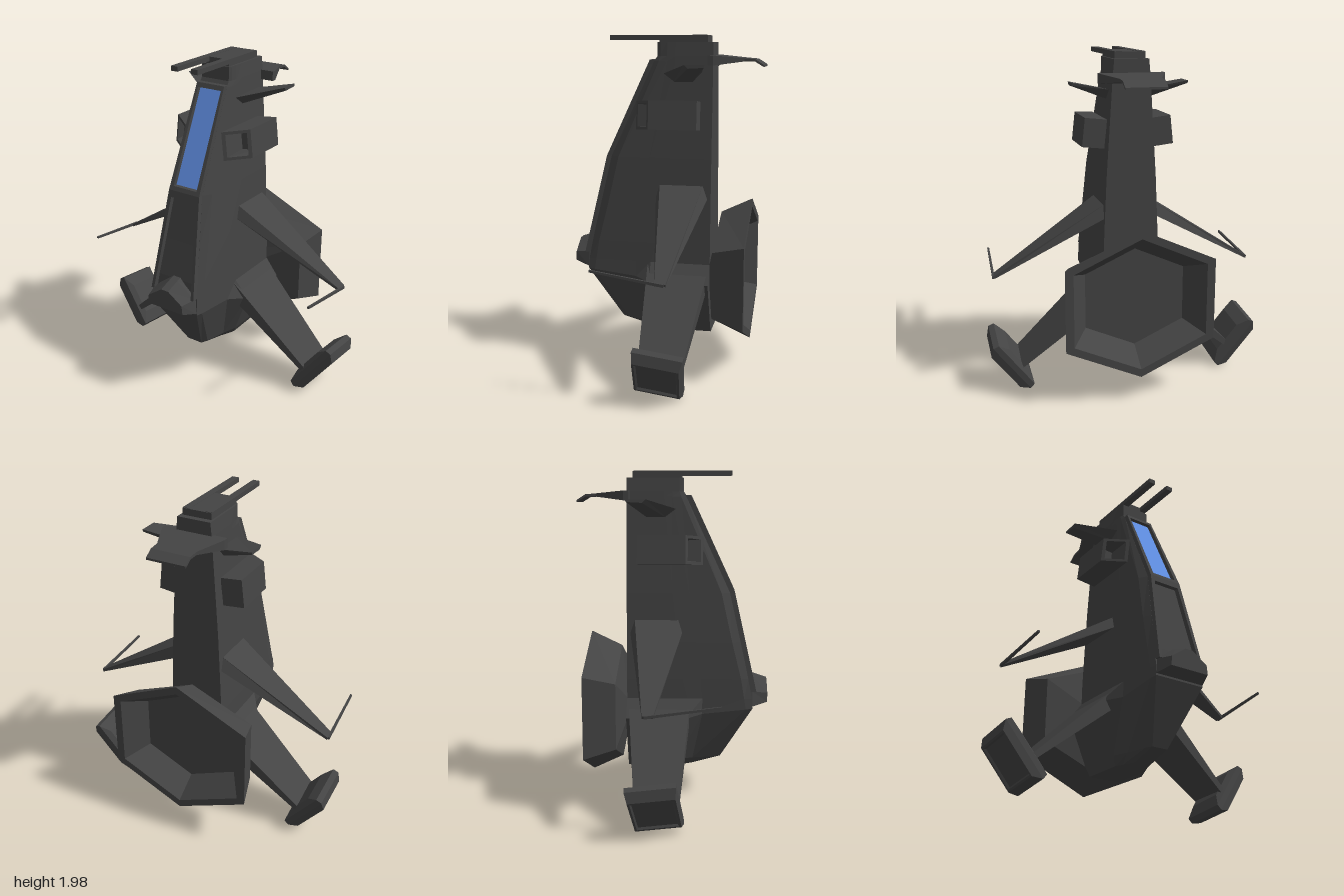
import * as THREE from 'three';

const hull = new THREE.MeshStandardMaterial({ color: 0x444444, flatShading: true });
hull.name = 'dark hull grey';
const glass = new THREE.MeshStandardMaterial({ color: 0x6495ed, flatShading: true });
glass.name = 'canopy blue';

// Closed faceted solid through a list of rings of [x, y, z]; winding is corrected by volume.
function loft(rings) {
  const tris = [];
  const n = rings[0].length;
  const centre = r => [0, 1, 2].map(k => r.reduce((s, p) => s + p[k], 0) / n);
  for (let i = 0; i < rings.length - 1; i++) {
    for (let j = 0; j < n; j++) {
      const k = (j + 1) % n, a = rings[i], b = rings[i + 1];
      tris.push([a[j], a[k], b[k]], [a[j], b[k], b[j]]);
    }
  }
  const first = rings[0], last = rings[rings.length - 1];
  const c0 = centre(first), c1 = centre(last);
  for (let j = 0; j < n; j++) {
    const k = (j + 1) % n;
    tris.push([c0, first[k], first[j]], [c1, last[j], last[k]]);
  }
  const v = tris.reduce((s, [a, b, c]) => s +
    a[0] * (b[1] * c[2] - b[2] * c[1]) + a[1] * (b[2] * c[0] - b[0] * c[2]) + a[2] * (b[0] * c[1] - b[1] * c[0]), 0);
  if (v < 0) tris.forEach(t => t.reverse());
  const geo = new THREE.BufferGeometry();
  geo.setAttribute('position', new THREE.Float32BufferAttribute(tris.flat(2), 3));
  geo.computeVertexNormals();
  return geo;
}

// Rectangle ring in the xy plane, with z allowed to vary from inner to outer side.
const rectXY = (x, y, hx, hy, z, z2 = z) => [[x - hx, y - hy, z], [x + hx, y - hy, z2], [x + hx, y + hy, z2], [x - hx, y + hy, z]];

export function createModel() {
  const model = new THREE.Group();
  model.name = 'spacecraft';

  const add = (name, rings, mat = hull) => {
    const mesh = new THREE.Mesh(loft(rings), mat);
    mesh.name = name;
    model.add(mesh);
  };
  // Same solid on the left (+x) and right (-x), with an optional placement matrix.
  const pair = (name, rings, matrix = new THREE.Matrix4()) => {
    for (const s of [1, -1]) {
      add((s > 0 ? 'left' : 'right') + name, rings.map(r => r.map(p => {
        const v = new THREE.Vector3(...p).applyMatrix4(matrix);
        return [v.x * s, v.y, v.z];
      })));
    }
  };
  const place = (x, y, z, rx, rz) => new THREE.Matrix4()
    .makeRotationFromEuler(new THREE.Euler(rx, 0, rz)).setPosition(x, y, z);

  // Fuselage: front y, rear y, then front, bevel, cheek and rear corners as x, z
  const sections = [
    [0.22, 0.22, 0.05, 0.11, 0.06, 0.09, 0.08, 0.05, 0.10, 0.0],
    [0.27, 0.27, 0.05, 0.29, 0.07, 0.25, 0.10, 0.12, 0.13, 0.03],
    [0.60, 0.555, 0.16, 0.48, 0.168, 0.44, 0.17, 0.18, 0.25, 0.08],
    [0.66, 0.66, 0.157, 0.475, 0.166, 0.43, 0.168, 0.18, 0.17, 0.09],
    [0.78, 0.78, 0.146, 0.455, 0.164, 0.41, 0.166, 0.17, 0.168, 0.06],
    [1.00, 1.00, 0.13, 0.405, 0.154, 0.355, 0.157, 0.14, 0.159, 0.03],
    [1.29, 1.29, 0.106, 0.34, 0.138, 0.29, 0.143, 0.10, 0.146, 0.0],
    [1.85, 1.85, 0.093, 0.08, 0.105, 0.05, 0.108, 0.0, 0.11, -0.05],
    [1.88, 1.88, 0.092, 0.06, 0.10, 0.04, 0.105, 0.0, 0.108, -0.05],
    [1.96, 1.96, 0.092, 0.06, 0.098, 0.04, 0.10, 0.0, 0.10, -0.05],
  ];
  add('fuselage', sections.map(([yFront, yRear, ...q]) => {
    const corner = (x, z) => [x, yFront + (yRear - yFront) * Math.min(1, (q[1] - z) / 0.4), z];
    const half = [0, 2, 4, 6].map(i => corner(q[i], q[i + 1]));
    half.push(corner(q[6], -0.27));
    return [...half, ...half.map(([x, y, z]) => [-x, y, z]).reverse()];
  }));

  // Raised frames around the sunken canopy and nose panel
  const upperZ = y => 0.34 - (y - 1.29) * 0.464;
  const lowerZ = y => 0.455 - (y - 0.78) * 0.2255;
  const plate = (name, zAt, corners, t, mat) =>
    add(name, [-0.004, t].map(d => corners.map(([x, y]) => [x, y, zAt(y) + d])), mat);
  const frame = 0.03;
  plate('canopyGlass', upperZ, [[-0.08, 1.31], [0.08, 1.31], [0.08, 1.84], [-0.08, 1.84]], 0.004, glass);
  plate('canopySill', upperZ, [[-0.106, 1.29], [0.106, 1.29], [0.105, 1.313], [-0.105, 1.313]], frame);
  plate('canopyHeader', upperZ, [[-0.093, 1.835], [0.093, 1.835], [0.093, 1.86], [-0.093, 1.86]], frame);
  plate('nosePanelHeader', lowerZ, [[-0.109, 1.25], [0.109, 1.25], [0.106, 1.29], [-0.106, 1.29]], frame);
  for (const s of [-1, 1]) {
    plate('canopyRail', upperZ, [[s * 0.08, 1.313], [s * 0.105, 1.313], [s * 0.093, 1.835], [s * 0.078, 1.835]], frame);
    plate('nosePanelRail', lowerZ, [[s * 0.134, 0.7], [s * 0.153, 0.7], [s * 0.109, 1.25], [s * 0.085, 1.25]], frame);
  }

  // Chin block with a peaked top
  const chin = (w, w2, y0, y1, y2, z) => [[-w, y0, z], [w, y0, z], [w2, y1, z], [0.025, y2, z], [-0.025, y2, z], [-w2, y1, z]];
  add('chinBlock', [chin(0.16, 0.145, 0.612, 0.71, 0.81, 0.4), chin(0.16, 0.145, 0.612, 0.70, 0.785, 0.48),
    chin(0.125, 0.12, 0.635, 0.69, 0.755, 0.57)]);

  // Six-sided engine bell with a hollow rear
  const hex = (sx, sy, z) => [[0, 0.44], [0.44, 0.242], [0.44, -0.242], [0, -0.44], [-0.44, -0.242], [-0.44, 0.242]]
    .map(([x, y]) => [x * sx, 0.6 + y * sy, z]);
  add('engineBell', [hex(0.3, 0.18, -0.262), hex(0.88, 0.8, -0.315), hex(1, 1, -0.5), hex(0.89, 0.89, -0.5), hex(0.67, 0.67, -0.35)]);

  // Upper wings, slim rods on their tips
  pair('Wing', [
    [[0.1, 1.165, 0.045], [0.1, 1.165, -0.23], [0.1, 1.085, -0.26], [0.1, 1.085, 0.07]],
    [[0.79, 0.72, -0.07], [0.79, 0.72, -0.13], [0.785, 0.705, -0.13], [0.785, 0.705, -0.07]],
  ]);
  pair('WingRod', [rectXY(0.79, 0.712, 0.007, 0.008, -0.12), rectXY(0.776, 0.766, 0.006, 0.006, 0.287)]);

  // Landing legs and bevelled foot pads with a sunken sole
  pair('Leg', [
    [[0.155, 0.658, 0.11], [0.155, 0.658, -0.265], [0.13, 0.56, -0.265], [0.13, 0.56, 0.11]],
    [[0.65, 0.19, 0.06], [0.65, 0.19, -0.19], [0.64, 0.155, -0.19], [0.64, 0.155, 0.06]],
  ]);
  const padRing = (x, a, b) => [[-a, -b], [a, -b], [a, b], [-a, b]].map(([y, z]) => [x, y, z]);
  pair('FootPad', [padRing(-0.055, 0.1, 0.11), padRing(-0.03, 0.175, 0.14), padRing(0.005, 0.183, 0.14),
    padRing(0.05, 0.14, 0.13), padRing(0.05, 0.128, 0.118), padRing(0.038, 0.12, 0.11)],
  place(0.705, 0.183, -0.07, -0.12, -0.635));

  // Side intakes with oblique hollow mouths
  pair('Intake', [
    rectXY(0, 0, 0.065, 0.083, -0.2), rectXY(0, 0, 0.065, 0.083, 0.18, 0.08),
    rectXY(0, 0, 0.048, 0.066, 0.167, 0.093), rectXY(0, 0, 0.04, 0.055, 0.02),
  ], place(0.197, 1.545, 0, 0, 0.11));

  // Small upper fins
  pair('Fin', [
    [[0.09, 1.775, 0.035], [0.09, 1.785, -0.2], [0.09, 1.722, -0.14], [0.09, 1.722, -0.03]],
    [[0.335, 1.835, -0.14], [0.335, 1.835, -0.255], [0.335, 1.82, -0.25], [0.335, 1.815, -0.16]],
  ]);

  // Drooping tail plate behind the head
  add('tailPlate', [
    rectXY(0, 1.857, 0.19, 0.028, -0.25), rectXY(0, 1.857, 0.19, 0.028, -0.28),
    rectXY(0, 1.86, 0.117, 0.009, -0.45), rectXY(0, 1.857, 0.117, 0.007, -0.51),
    rectXY(0, 1.826, 0.117, 0.006, -0.56),
  ]);

  // Roof block with twin barrels
  add('roofBlock', [rectXY(0, 1.978, 0.088, 0.02, -0.235), rectXY(0, 1.978, 0.088, 0.02, 0.05)]);
  pair('Barrel', [rectXY(0.067, 1.986, 0.021, 0.014, -0.23), rectXY(0.067, 1.986, 0.021, 0.014, 0.345)]);

  return model;
}
